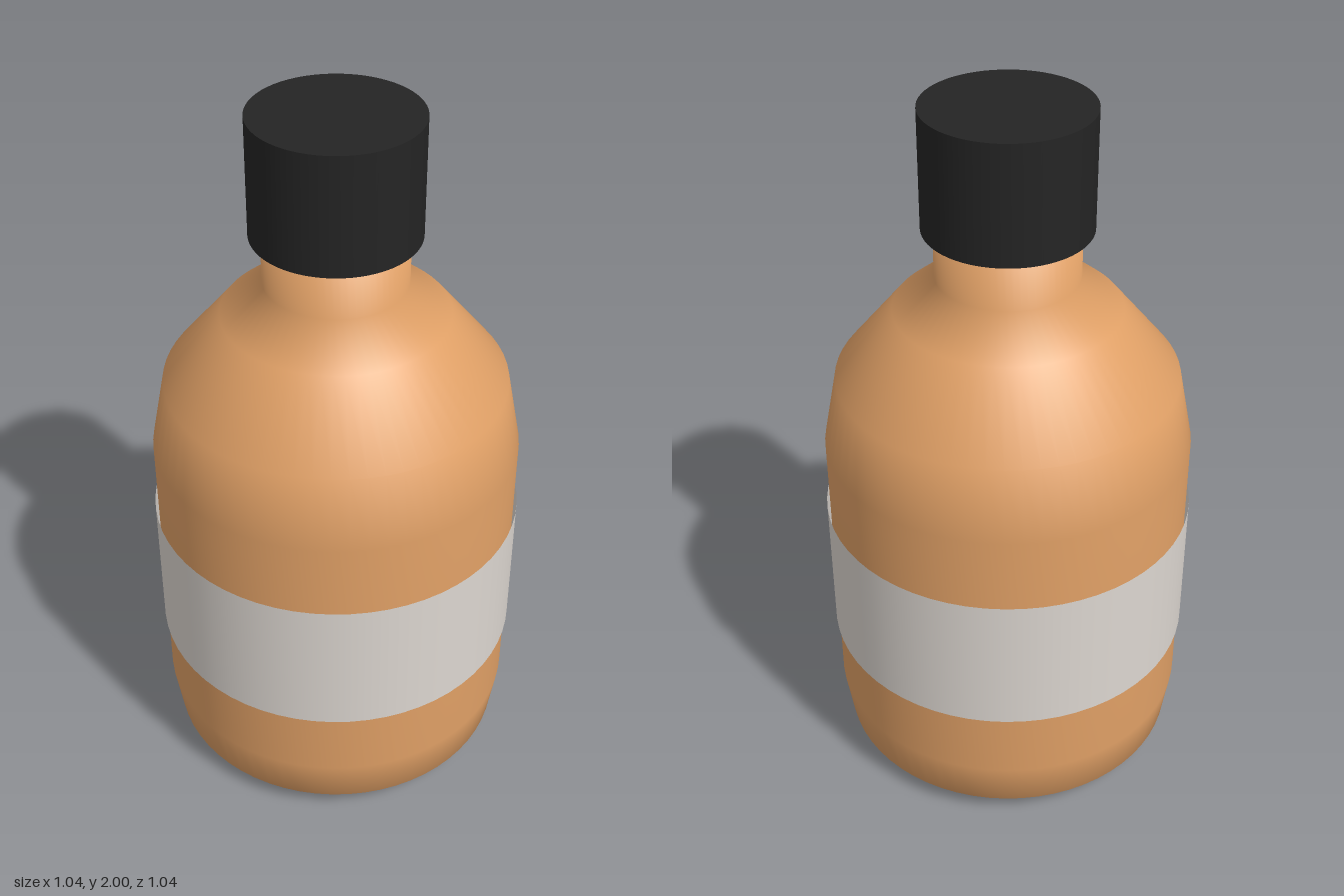
import * as THREE from 'three';

export function createModel() {
  const model = new THREE.Group();
  model.name = 'bottle';
  const SIDES = 64;

  const amber = new THREE.MeshStandardMaterial({ name: 'amber', color: 0xe0a066 });
  const paper = new THREE.MeshStandardMaterial({ name: 'paper', color: 0xdcd6d0, side: THREE.DoubleSide });
  const black = new THREE.MeshStandardMaterial({ name: 'black', color: 0x242424 });

  const add = (name, geometry, material, y = 0) => {
    const mesh = new THREE.Mesh(geometry, material);
    mesh.name = name;
    mesh.position.y = y;
    model.add(mesh);
  };

  // Glass body: base, chamfered foot, straight wall, shoulder and neck
  const profile = [
    [0, 0], [0.415, 0], [0.492, 0.06], [0.512, 0.2], [0.512, 1.03],
    [0.472, 1.235], [0.31, 1.435], [0.195, 1.53], [0.195, 1.75], [0, 1.75],
  ].map(([r, y]) => new THREE.Vector2(r, y));
  add('body', new THREE.LatheGeometry(profile, SIDES), amber);

  // Label wrapped around the wall
  add('label', new THREE.CylinderGeometry(0.521, 0.521, 0.415, SIDES, 1, true), paper, 0.6125);

  // Screw cap
  add('cap', new THREE.CylinderGeometry(0.227, 0.227, 0.33, SIDES), black, 1.835);

  return model;
}
